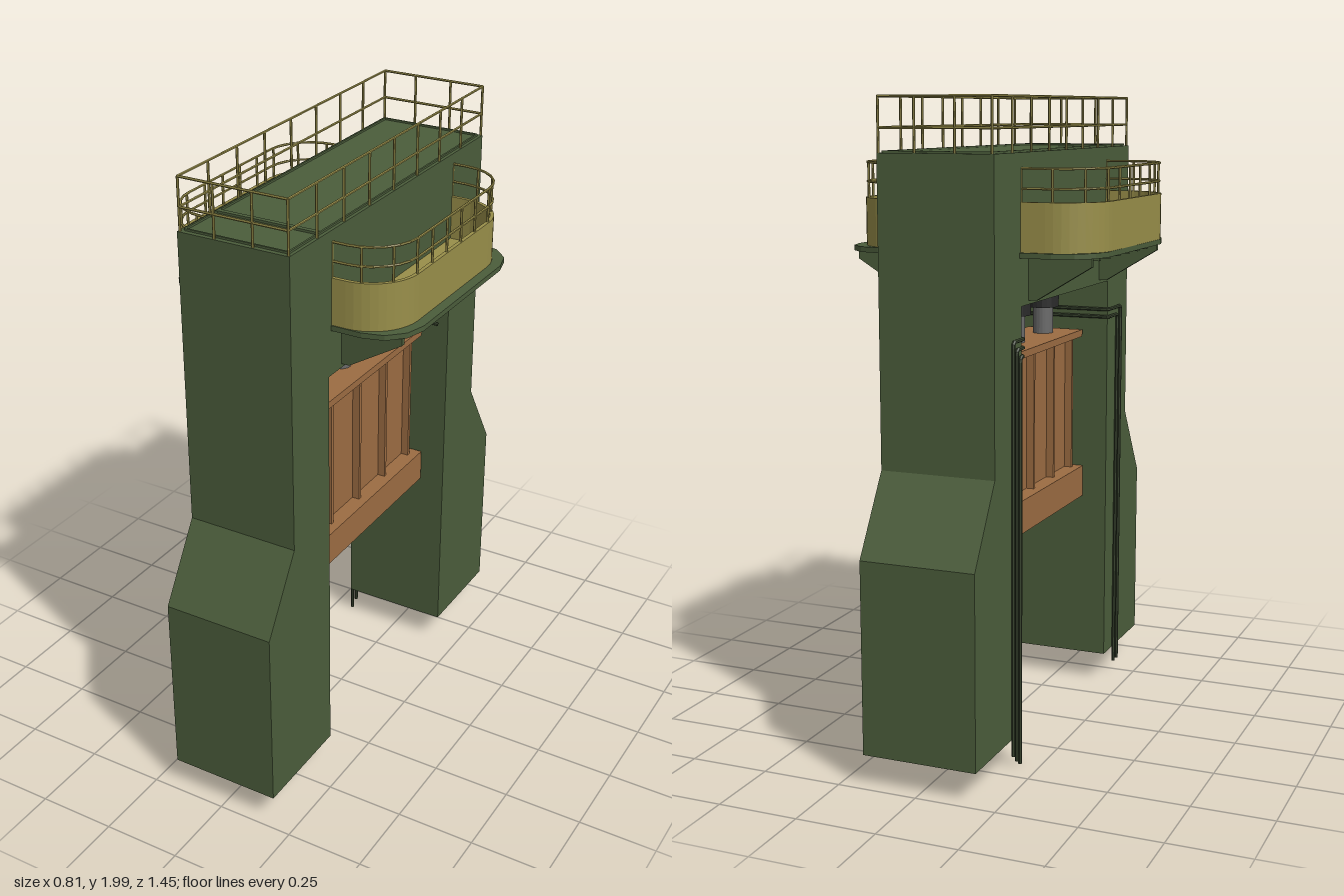
import * as THREE from 'three';

const mat = (color) => new THREE.MeshStandardMaterial({ color, flatShading: true });
const green = mat(0x4b5d3b), yellow = mat(0x998f4a), brown = mat(0x9c6c42);
const black = mat(0x2a2a2a), steel = mat(0x6a6a6a), cableMat = mat(0x36412c);
const UP = new THREE.Vector3(0, 1, 0);
const V = (x, y, z) => new THREE.Vector3(x, y, z);

function add(parent, name, geometry, material, x = 0, y = 0, z = 0) {
  const mesh = new THREE.Mesh(geometry, material);
  mesh.name = name;
  mesh.position.set(x, y, z);
  parent.add(mesh);
  return mesh;
}

// Box given by its limits on each axis
function box(parent, name, material, [x0, x1], [y0, y1], [z0, z1]) {
  return add(parent, name, new THREE.BoxGeometry(x1 - x0, y1 - y0, z1 - z0), material,
    (x0 + x1) / 2, (y0 + y1) / 2, (z0 + z1) / 2);
}

// Round bar between two points
function bar(parent, name, a, b, radius = 0.004) {
  const d = b.clone().sub(a);
  const mesh = add(parent, name, new THREE.CylinderGeometry(radius, radius, d.length(), 6), yellow);
  mesh.position.copy(a).add(b).multiplyScalar(0.5);
  mesh.quaternion.setFromUnitVectors(UP, d.normalize());
}

function railing(parent, points, heights) {
  for (const y of heights)
    for (let i = 1; i < points.length; i++)
      bar(parent, 'rail', V(points[i - 1].x, y, points[i - 1].y), V(points[i].x, y, points[i].y));
}

// Open U outline of a balcony in plan: x, z
function balconyOutline(side, reach, z0, z1, r, steps) {
  const pts = [new THREE.Vector2(side * 0.178, z0)];
  for (const [cz, start] of [[z0 + r, -Math.PI / 2], [z1 - r, 0]])
    for (let i = 0; i <= steps; i++) {
      const a = start + (i / steps) * Math.PI / 2;
      pts.push(new THREE.Vector2(side * (reach - r + r * Math.cos(a)), cz + r * Math.sin(a)));
    }
  pts.push(new THREE.Vector2(side * 0.178, z1));
  return pts;
}

// Plan outline extruded between two heights
function slab(parent, name, material, points, y0, y1) {
  const geo = new THREE.ExtrudeGeometry(new THREE.Shape(points), { depth: y1 - y0, bevelEnabled: false });
  geo.rotateX(Math.PI / 2);
  return add(parent, name, geo, material, 0, y1, 0);
}

function portalFrame(root) {
  const half = [[0.38, 1.4], [0.38, 0.1], [0.725, 0.1], [0.725, 0.69], [0.58, 0.925], [0.58, 1.84]];
  const outline = [...half, ...half.map(([z, y]) => [-z, y]).reverse()];
  // Shape x becomes -z after the turn; the profile is symmetric
  const geo = new THREE.ExtrudeGeometry(new THREE.Shape(outline.map(([z, y]) => new THREE.Vector2(z, y))),
    { depth: 0.36, bevelEnabled: false });
  geo.translate(0, 0, -0.18);
  geo.rotateY(Math.PI / 2);
  add(root, 'portalFrame', geo, green);
}

function roof(root) {
  const g = new THREE.Group();
  g.name = 'roofRailing';
  root.add(g);
  const X = 0.174, z0 = -0.58, z1 = 0.574;
  const ring = [[-X, z0], [X, z0], [X, z1], [-X, z1], [-X, z0]].map(([x, z]) => new THREE.Vector2(x, z));
  railing(g, ring, [1.91, 1.997]);
  for (let i = 0; i <= 8; i++)
    for (const x of [-X, X]) {
      const z = z0 + (z1 - z0) * i / 8;
      bar(g, 'post', V(x, 1.84, z), V(x, 1.997, z));
    }
  for (const x of [-0.062, 0.062])
    for (const z of [z0, z1]) bar(g, 'post', V(x, 1.84, z), V(x, 1.997, z));
  // Low kerb and cross strip on the roof
  for (const s of [-1, 1]) {
    box(g, 'kerb', green, [s * 0.166 - 0.003, s * 0.166 + 0.003], [1.838, 1.846], [-0.568, 0.562]);
    box(g, 'kerb', green, [-0.166, 0.166], [1.838, 1.846], [s * 0.565 - 0.006, s * 0.565]);
  }
  box(g, 'roofStrip', green, [-0.162, 0.162], [1.838, 1.847], [0.395, 0.41]);
}

function balcony(root, side) {
  const g = new THREE.Group();
  g.name = side > 0 ? 'leftBalcony' : 'rightBalcony';
  root.add(g);
  const reach = side > 0 ? 0.375 : 0.405, z0 = -0.387, z1 = 0.363;
  const top = side > 0 ? 1.808 : 1.798;
  const outer = balconyOutline(side, reach, z0, z1, 0.15, 10);
  const inner = balconyOutline(side, reach - 0.012, z0 + 0.012, z1 - 0.012, 0.138, 10);
  // Deck, parapet and inner floor
  slab(g, 'deck', green, balconyOutline(side, 0.406, -0.395, 0.366, 0.13, 3), 1.54, 1.556);
  slab(g, 'parapet', yellow, [...outer, ...inner.slice().reverse()], 1.555, 1.7);
  slab(g, 'floor', yellow, inner, 1.554, 1.562);
  // Handrail on the parapet
  const line = balconyOutline(side, reach - 0.006, z0 + 0.006, z1 - 0.006, 0.144, 6);
  railing(g, line, [top - 0.06, top - 0.003]);
  for (const p of new THREE.Path().setFromPoints(line).getSpacedPoints(11))
    bar(g, 'post', V(p.x, 1.69, p.y), V(p.x, top - 0.003, p.y));
  // Triangular brackets and joists below the deck
  const plate = [[0.178, 1.541], [0.375, 1.541], [0.375, 1.515], [0.205, 1.412], [0.178, 1.412]];
  for (const z of [-0.318, 0.3]) {
    const geo = new THREE.ExtrudeGeometry(
      new THREE.Shape(plate.map(([x, y]) => new THREE.Vector2(side * x, y))),
      { depth: 0.016, bevelEnabled: false });
    add(g, 'bracket', geo, green, 0, 0, z - 0.008);
  }
  for (let i = 0; i < 6; i++) {
    const z = -0.24 + i * 0.09, xs = [side * 0.178, side * 0.37].sort((a, b) => a - b);
    box(g, 'joist', green, xs, [1.526, 1.541], [z - 0.008, z + 0.008]);
  }
}

function gate(root) {
  const g = new THREE.Group();
  g.name = 'gate';
  root.add(g);
  box(g, 'baseBeam', brown, [-0.098, 0.098], [0.66, 0.765], [-0.375, 0.377]);
  box(g, 'panel', brown, [-0.045, 0.045], [0.765, 1.212], [-0.335, 0.345]);
  box(g, 'topPlate', brown, [-0.098, 0.098], [1.212, 1.235], [-0.355, 0.362]);
  for (const z of [-0.335, -0.17, 0, 0.175, 0.345])
    box(g, 'rib', brown, [-0.07, 0.07], [0.765, 1.212], [z - 0.006, z + 0.006]);
  // Lifting cylinders
  for (const z of [-0.245, 0.003, 0.25]) {
    add(g, 'pistonRod', new THREE.CylinderGeometry(0.033, 0.033, 0.1, 20), steel, 0, 1.28, z);
    add(g, 'cylinderHead', new THREE.CylinderGeometry(0.052, 0.052, 0.08, 20), black, 0, 1.362, z);
  }
}

// Pipe with rounded bends through a few corner points
function pipe(parent, points, bend = 0.02) {
  const path = new THREE.CurvePath();
  let from = points[0];
  for (let i = 1; i < points.length; i++) {
    const p = points[i], next = points[i + 1];
    if (!next) { path.add(new THREE.LineCurve3(from, p)); break; }
    const a = p.clone().addScaledVector(from.clone().sub(p).normalize(), bend);
    const b = p.clone().addScaledVector(next.clone().sub(p).normalize(), bend);
    path.add(new THREE.LineCurve3(from, a));
    path.add(new THREE.QuadraticBezierCurve3(a, p, b));
    from = b;
  }
  add(parent, 'pipe', new THREE.TubeGeometry(path, 160, 0.006, 6), cableMat);
}

function pipes(root) {
  const g = new THREE.Group();
  g.name = 'servicePipes';
  root.add(g);
  // z of the riser, its foot, its top, and which leg
  const risers = [[-0.403, 0.006, 1.255, -1], [-0.43, 0.025, 1.28, -1], [-0.457, 0.05, 1.305, -1],
    [0.465, 0.05, 1.28, 1], [0.498, 0.05, 1.305, 1]];
  for (const [z, foot, top, leg] of risers) {
    const inside = leg * 0.374;
    pipe(g, [V(-0.186, foot, z), V(-0.186, top, z), V(-0.186, top, inside), V(0.15, top, inside)], 0.012);
  }
}

export function createModel() {
  const root = new THREE.Group();
  root.name = 'gateTower';
  portalFrame(root);
  roof(root);
  for (const side of [-1, 1]) balcony(root, side);
  gate(root);
  pipes(root);
  return root;
}
